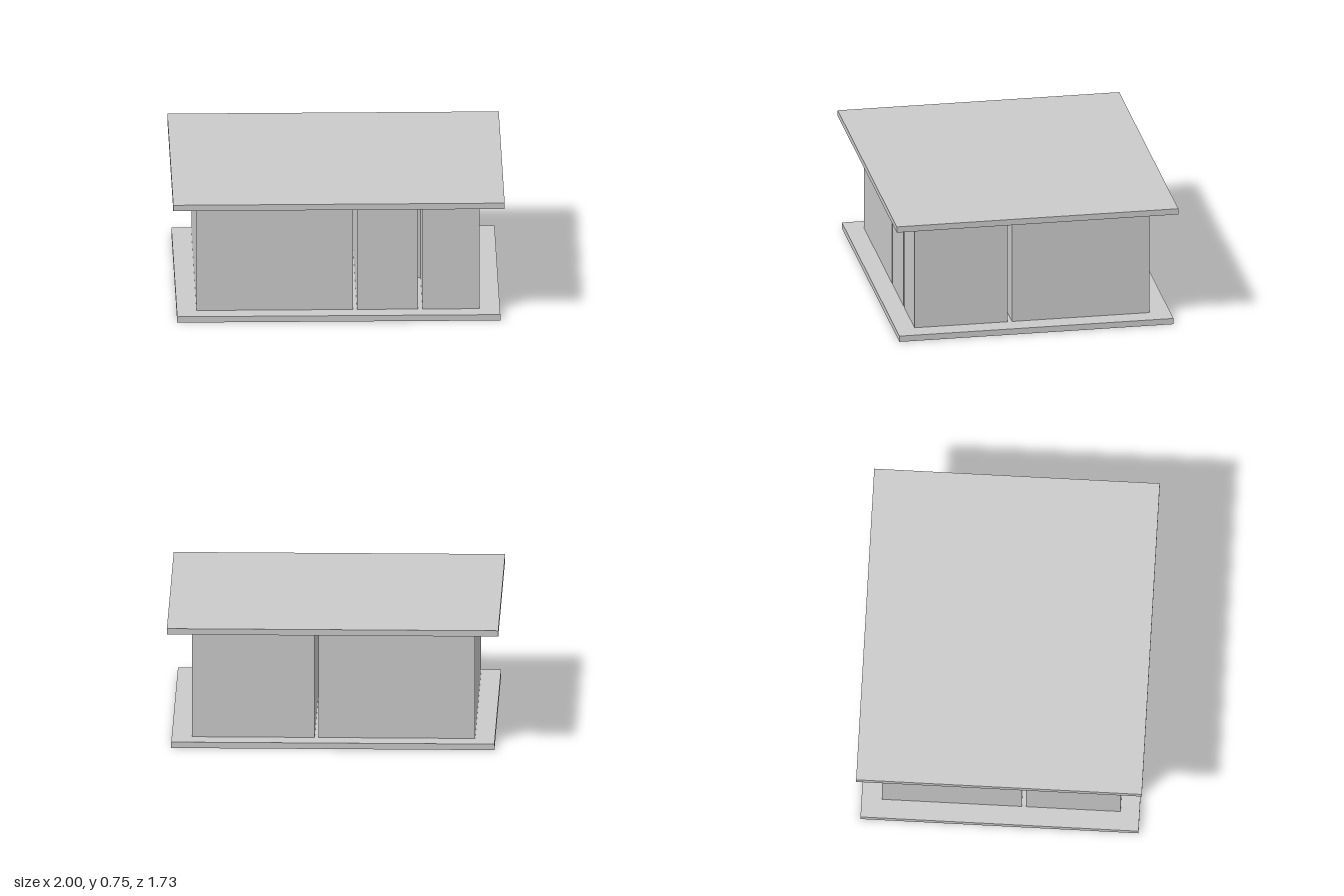
import * as THREE from 'three';

const material = new THREE.MeshStandardMaterial({ color: 0xcccccc, flatShading: true });

// Box given by its limits on each axis
function block(name, [x0, x1], [y0, y1], [z0, z1]) {
  const mesh = new THREE.Mesh(new THREE.BoxGeometry(x1 - x0, y1 - y0, z1 - z0), material);
  mesh.position.set((x0 + x1) / 2, (y0 + y1) / 2, (z0 + z1) / 2);
  mesh.name = name;
  return mesh;
}

export function createModel() {
  const model = new THREE.Group();
  model.name = 'pavilion';

  const floorTop = 0.037, roofBottom = 0.717, top = 0.754;

  // Floor and overhanging roof slabs
  model.add(block('floorSlab', [-0.976, 0.974], [0, floorTop], [-0.838, 0.842]));
  model.add(block('roofSlab', [-1, 1], [roofBottom, top], [-0.863, 0.863]));

  // Room blocks separated by narrow gaps
  const front = [0.157, 0.727], back = [-0.714, 0.13];
  const rooms = [
    ['frontRightRoom', [-0.856, 0.088], front],
    ['frontMiddleRoom', [0.112, 0.481], front],
    ['frontLeftRoom', [0.508, 0.851], front],
    ['backRightRoom', [-0.856, 0.088], back],
    ['backLeftRoom', [0.112, 0.851], back],
  ];
  for (const [name, x, z] of rooms) model.add(block(name, x, [floorTop, roofBottom], z));

  return model;
}
